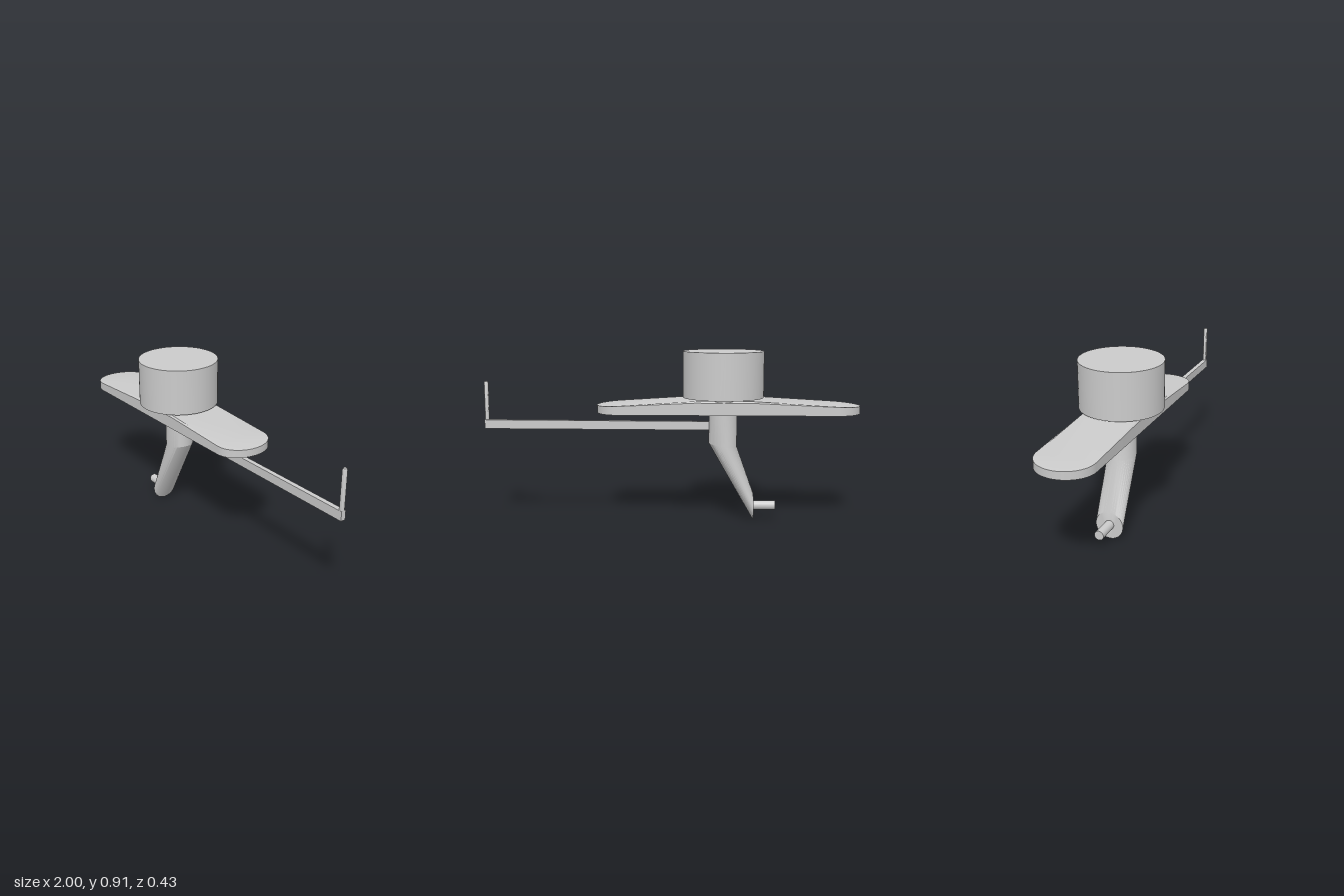
import * as THREE from 'three';
import { toCreasedNormals } from 'three/addons/utils/BufferGeometryUtils.js';

const CX = -0.28; // axis shared by drum, neck and leg

// Skin a list of closed rings (arrays of Vector3) and cap both ends with fans.
function loft(rings, crease = 0.5) {
  const n = rings[0].length, pos = [];
  const tri = (a, b, c) => [a, b, c].forEach((p) => pos.push(p.x, p.y, p.z));
  for (let i = 0; i < rings.length - 1; i++) {
    for (let j = 0; j < n; j++) {
      const k = (j + 1) % n, a = rings[i], b = rings[i + 1];
      tri(a[j], a[k], b[k]);
      tri(a[j], b[k], b[j]);
    }
  }
  const first = rings[0], last = rings[rings.length - 1];
  for (let j = 1; j < n - 1; j++) {
    tri(first[0], first[j + 1], first[j]);
    tri(last[0], last[j], last[j + 1]);
  }
  const g = new THREE.BufferGeometry();
  g.setAttribute('position', new THREE.Float32BufferAttribute(pos, 3));
  return toCreasedNormals(g, crease);
}

// Long deck with rounded ends and a top that rises gently to the middle.
function deckGeometry() {
  const half = 0.148, left = -1, right = 0.39, rl = 0.135, rr = 0.12, N = 14;
  const stations = [];
  for (let i = 0; i <= N; i++) {
    const t = (i / N) * Math.PI / 2;
    stations.push([left + rl * (1 - Math.cos(t)), Math.max(0.001, half * Math.sin(t))]);
  }
  stations.push([CX - 0.15, half], [CX + 0.15, half]);
  for (let i = N; i >= 0; i--) {
    const t = (i / N) * Math.PI / 2;
    stations.push([right - rr * (1 - Math.cos(t)), Math.max(0.001, half * Math.sin(t))]);
  }
  const rings = stations.map(([x, w]) => {
    const s = x < CX ? (x - left) / (CX - 0.15 - left) : (right - x) / (right - CX - 0.15);
    const rise = 0.033 * Math.min(1, s);
    const top = 0.625 + rise, edge = 0.625 + rise * 0.75;
    return [[-w, 0.585], [-w, edge], [-w * 0.94, top], [w * 0.94, top], [w, edge], [w, 0.585]]
      .map(([z, y]) => new THREE.Vector3(x, y, z)).reverse();
  });
  return loft(rings, 0.6);
}

// Bent leg: each ring is given by its left and right extreme points.
function legGeometry() {
  const r = 0.075, N = 40;
  const sections = [
    [[-0.445, 0.15], [-0.445, 0.003]],
    [[CX - r, 0.40], [CX + r, 0.42]],
    [[CX - r, 0.60], [CX + r, 0.60]],
  ];
  const rings = sections.map(([a, b]) => Array.from({ length: N }, (_, i) => {
    const t = (-i / N) * Math.PI * 2, u = (1 + Math.cos(t)) / 2;
    return new THREE.Vector3(a[0] + (b[0] - a[0]) * u, a[1] + (b[1] - a[1]) * u, r * Math.sin(t));
  }));
  return loft(rings, 0.4);
}

export function createModel() {
  const group = new THREE.Group();
  const material = new THREE.MeshStandardMaterial({ color: 0xcccccc, side: THREE.DoubleSide });
  const add = (name, geometry, x = 0, y = 0, z = 0) => {
    const mesh = new THREE.Mesh(geometry, material);
    mesh.name = name;
    mesh.position.set(x, y, z);
    group.add(mesh);
    return mesh;
  };

  // Drum on its short neck
  add('drum', new THREE.CylinderGeometry(0.214, 0.214, 0.244, 64), CX, 0.788);
  add('neck', new THREE.CylinderGeometry(0.148, 0.148, 0.018, 48), CX, 0.658);

  add('deck', deckGeometry());
  add('leg', legGeometry());

  // Peg sticking out of the cut foot of the leg
  add('peg', new THREE.CylinderGeometry(0.025, 0.025, 0.14, 32), -0.495, 0.08).rotation.z = Math.PI / 2;

  // Slim side arm, slightly shallower toward its tip
  const arm = new THREE.Shape([[-0.23, 0.49], [0.998, 0.492], [0.998, 0.54], [-0.23, 0.536]]
    .map(([x, y]) => new THREE.Vector2(x, y)));
  add('arm', new THREE.ExtrudeGeometry(arm, { depth: 0.026, bevelEnabled: false }), 0, 0, -0.013);

  // Upright pin with a softly rounded tip
  const pin = [[0, 0], [0.012, 0], [0.012, 0.208], [0.009, 0.216], [0, 0.219]]
    .map(([x, y]) => new THREE.Vector2(x, y));
  add('pin', toCreasedNormals(new THREE.LatheGeometry(pin, 24), 0.8), 0.986, 0.53);

  return group;
}
